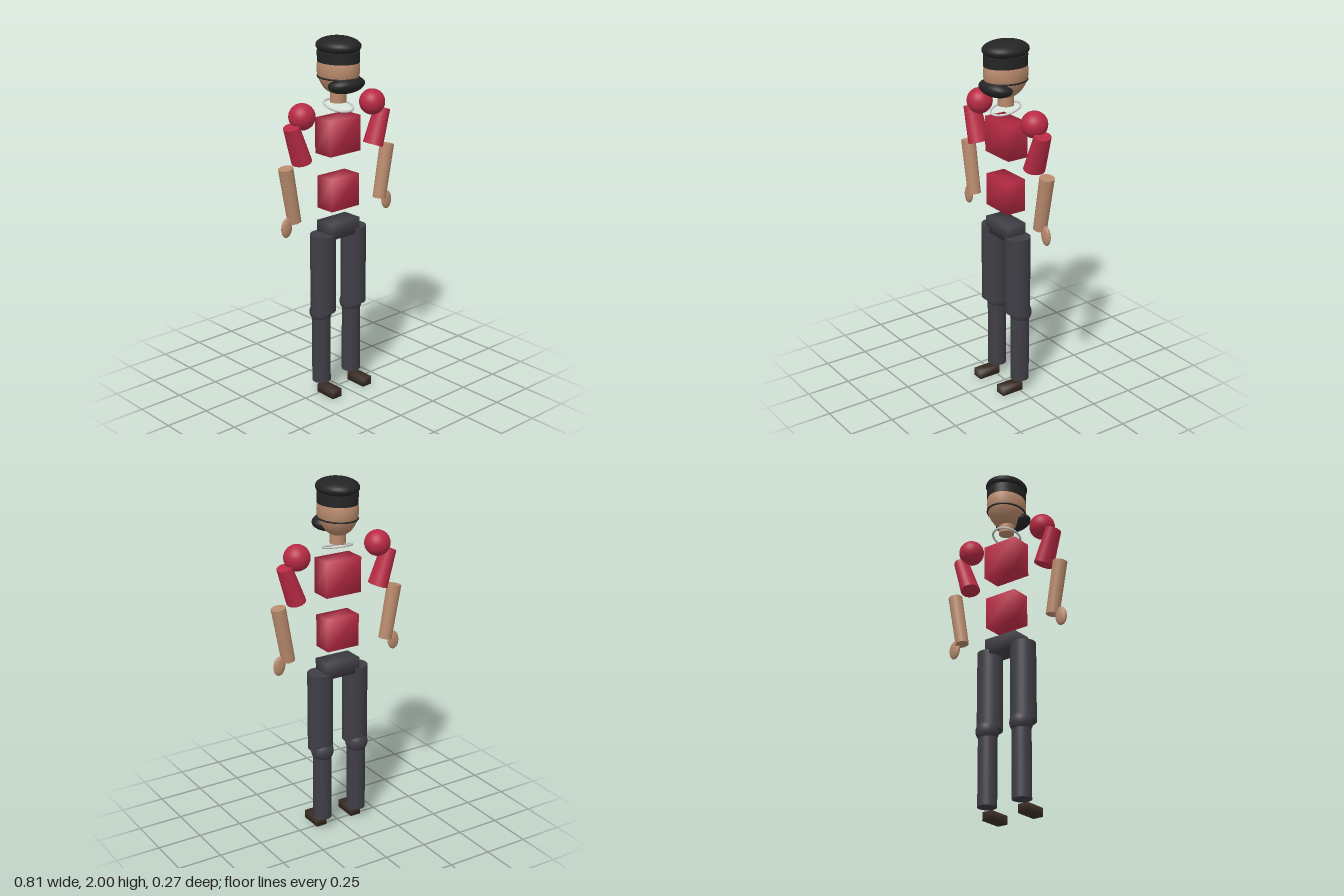
import * as THREE from 'three';
import { mergeVertices } from 'three/addons/utils/BufferGeometryUtils.js';

const mat = (color) => new THREE.MeshStandardMaterial({ color });

export function createModel() {
  const model = new THREE.Group();
  model.name = 'figure';
  const skin = mat(0xb88a6c), red = mat(0xb82a44), trousers = mat(0x3e3e45);
  const black = mat(0x242424), leather = mat(0x3a2c24), grey = mat(0xcccccc);

  const add = (name, geometry, material, x, y, z) => {
    const mesh = new THREE.Mesh(geometry, material);
    mesh.name = name;
    mesh.position.set(x, y, z);
    model.add(mesh);
    return mesh;
  };

  const ellipsoid = (name, material, [x, y, z], [rx, ry, rz]) => {
    const mesh = add(name, new THREE.SphereGeometry(1, 32, 20), material, x, y, z);
    mesh.scale.set(rx, ry, rz);
    return mesh;
  };

  // Block with shared corners, so its shading is soft across the edges
  const softBlock = (name, material, [x0, x1], [y0, y1], [z0, z1]) => {
    const box = new THREE.BoxGeometry(x1 - x0, y1 - y0, z1 - z0);
    box.deleteAttribute('normal');
    box.deleteAttribute('uv');
    const geometry = mergeVertices(box);
    geometry.computeVertexNormals();
    return add(name, geometry, material, (x0 + x1) / 2, (y0 + y1) / 2, (z0 + z1) / 2);
  };

  // Tapered limb from a bottom point to a top point in the x-y plane
  const limb = (name, material, [xb, yb], [xt, yt], rBottom, rTop, z, depth = 1) => {
    const dx = xt - xb, dy = yt - yb;
    const geometry = new THREE.CylinderGeometry(rTop, rBottom, Math.hypot(dx, dy), 32);
    const mesh = add(name, geometry, material, (xb + xt) / 2, (yb + yt) / 2, z);
    mesh.rotation.z = -Math.atan2(dx, dy);
    mesh.scale.z = depth;
    return mesh;
  };

  // Head, beard and cap
  ellipsoid('head', skin, [0, 1.83, -0.004], [0.105, 0.14, 0.125]);
  ellipsoid('beard', black, [0, 1.752, 0.06], [0.11, 0.047, 0.079]).rotation.x = -0.15;
  limb('capBand', black, [0, 1.867], [0, 1.925], 0.104, 0.104, -0.003, 1.18);
  ellipsoid('capTop', black, [0, 1.951, -0.003], [0.111, 0.049, 0.131]);

  // Thin strap around the back of the head
  const strap = add('headStrap', new THREE.TorusGeometry(0.1, 0.005, 8, 48), black, 0, 1.787, -0.004);
  strap.rotation.x = Math.PI / 2;
  strap.scale.y = 1.19;

  // Neck and tilted collar ring
  limb('neck', skin, [0, 1.65], [0, 1.75], 0.043, 0.043, -0.004);
  const collar = add('collarRing', new THREE.TorusGeometry(0.075, 0.006, 10, 48), grey, 0, 1.632, -0.002);
  collar.rotation.x = Math.PI / 2 + 0.24;
  collar.scale.y = 1.1;

  // Torso
  softBlock('chest', red, [-0.107, 0.107], [1.376, 1.572], [-0.068, 0.055]);
  softBlock('waist', red, [-0.098, 0.098], [1.07, 1.25], [-0.062, 0.055]);
  softBlock('pelvis', trousers, [-0.103, 0.103], [0.91, 1.0], [-0.063, 0.055]);

  // Arms and legs, mirrored
  for (const [s, side] of [[1, 'left'], [-1, 'right']]) {
    ellipsoid(side + 'Shoulder', red, [s * 0.25, 1.61, -0.007], [0.071, 0.071, 0.071]);
    limb(side + 'UpperArm', red, [s * 0.256, 1.37], [s * 0.325, 1.567], 0.051, 0.04, -0.005, 1.22);
    limb(side + 'Forearm', skin, [s * 0.31, 1.052], [s * 0.365, 1.355], 0.037, 0.04, -0.006);
    ellipsoid(side + 'Hand', skin, [s * 0.364, 1.03, -0.005], [0.035, 0.054, 0.017]).rotation.z = s * 0.08;

    limb(side + 'Thigh', trousers, [s * 0.112, 0.49], [s * 0.112, 0.938], 0.07, 0.07, -0.004);
    ellipsoid(side + 'Knee', trousers, [s * 0.112, 0.48, -0.024], [0.063, 0.063, 0.063]);
    limb(side + 'Shin', trousers, [s * 0.112, 0.065], [s * 0.112, 0.45], 0.052, 0.052, -0.021);
    const foot = s > 0 ? [0.083, 0.146] : [-0.146, -0.083];
    softBlock(side + 'Shoe', leather, foot, [0, 0.047], [-0.018, 0.114]);
  }
  return model;
}
